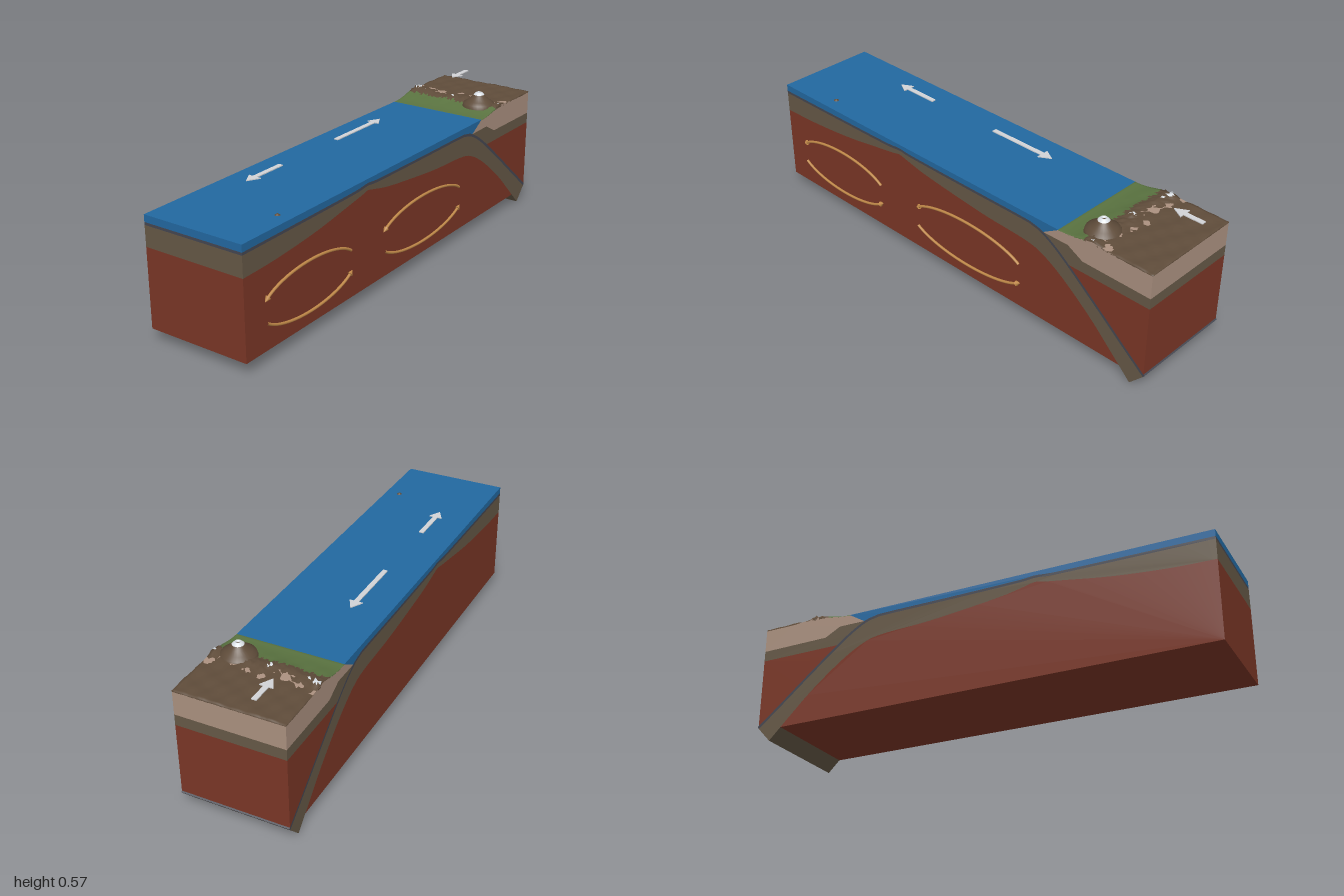
import * as THREE from 'three';

const BACK = -0.23, FRONT = 0.212, RIGHT = 0.985;
const mat = (name, color, side = THREE.FrontSide) => {
  const m = new THREE.MeshStandardMaterial({ color, side });
  m.name = name;
  return m;
};

export function createModel() {
  const model = new THREE.Group();
  model.name = 'plateTectonicsBlock';
  const mats = {
    mantle: mat('mantle red', 0x7a3626),
    plate: mat('lithosphere olive', 0x655846),
    crust: mat('oceanic crust slate', 0x444650),
    land: mat('continental crust beige', 0xaa907f),
    water: mat('ocean blue', 0x2268a0),
    grass: mat('coast green', 0x5a7340, THREE.DoubleSide),
    rock: mat('mountain brown', 0x5f4c3a, THREE.DoubleSide),
    snow: mat('snow white', 0xe2e8ee, THREE.DoubleSide),
    arrow: mat('arrow grey', 0xd2d3d6),
    flow: mat('convection orange', 0xc08848),
  };
  const add = (name, geo, material, parent = model) => {
    const mesh = new THREE.Mesh(geo, material);
    mesh.name = name;
    parent.add(mesh);
    return mesh;
  };
  const v2 = (x, y) => new THREE.Vector2(x, y);
  const spline = (pts) => new THREE.SplineCurve(pts.map((p) => v2(...p))).getPoints(100);

  // A layer is a front outline pulled through the depth of the block
  const layer = (name, outline, material) => {
    const geo = new THREE.ExtrudeGeometry(new THREE.Shape(outline), { depth: FRONT - BACK, bevelEnabled: false });
    geo.translate(0, 0, BACK);
    return add(name, geo, material);
  };

  // Boundary curves of the oceanic plate, bending down into the trench
  const seabed = spline([[-1, 0.474], [-0.6, 0.477], [-0.36, 0.48], [-0.28, 0.486], [-0.2, 0.481], [0.1, 0.478],
    [0.38, 0.477], [0.44, 0.473], [0.5, 0.455], [0.595, 0.395], [0.755, 0.268], [0.88, 0.165], [0.99, 0.076]]);
  const base = spline([[-1, 0.379], [-0.82, 0.385], [-0.6, 0.405], [-0.4, 0.436], [-0.32, 0.449], [-0.28, 0.457],
    [-0.24, 0.449], [-0.15, 0.43], [0, 0.411], [0.2, 0.391], [0.4, 0.381], [0.49, 0.36], [0.595, 0.3],
    [0.728, 0.196], [0.83, 0.1], [0.926, 0.006]]);
  const crustBase = seabed.map((p, i) => {
    const a = seabed[Math.max(i - 1, 0)], b = seabed[Math.min(i + 1, seabed.length - 1)];
    const t = b.clone().sub(a).normalize();
    return v2(i === 0 ? -1 : p.x + t.y * 0.011, p.y - t.x * 0.011);
  });

  // Mantle below the plate, and the wedge above the sinking slab
  const floor = 0.057;
  const above = base.filter((p) => p.y > floor);
  layer('mantle', [v2(-1, floor), v2(above[above.length - 1].x + 0.008, floor), ...above.reverse()], mats.mantle);
  layer('mantleWedge', [...seabed.filter((p) => p.y < 0.378 && p.x < RIGHT), v2(RIGHT, 0.08), v2(RIGHT, 0.376),
    v2(0.619, 0.376)], mats.mantle);

  // Oceanic plate with its thin crust
  layer('oceanicPlate', [...base, ...crustBase.slice().reverse()], mats.plate);
  layer('oceanicCrust', [...crustBase, ...seabed.slice().reverse()], mats.crust);

  // Continent: deep plate and crust
  layer('continentalPlate', [v2(0.492, 0.458), ...seabed.filter((p) => p.x > 0.5 && p.y > 0.378), v2(0.619, 0.376),
    v2(RIGHT, 0.376), v2(RIGHT, 0.421), v2(0.68, 0.423), v2(0.61, 0.46)], mats.plate);
  layer('continentalCrust', [v2(0.492, 0.459), v2(0.61, 0.46), v2(0.68, 0.423), v2(RIGHT, 0.421), v2(RIGHT, 0.518),
    v2(0.85, 0.518), v2(0.76, 0.525), v2(0.72, 0.527), v2(0.67, 0.516), v2(0.62, 0.506), v2(0.56, 0.5)], mats.land);

  // Ocean
  layer('ocean', [...seabed.filter((p) => p.x < 0.492), v2(0.492, 0.459), v2(0.565, 0.503), v2(-1, 0.503)], mats.water);

  // Land surface: coast, mountain ridge and plateau
  const hash = (i, j) => {
    const s = Math.sin(i * 127.1 + j * 311.7) * 43758.5453;
    return s - Math.floor(s);
  };
  const NX = 44, NZ = 46, X0 = 0.562;
  const position = [], buckets = [[], [], []];
  for (let j = 0; j <= NZ; j++) {
    for (let i = 0; i <= NX; i++) {
      const u = THREE.MathUtils.clamp((i - 1) / (NX - 2), 0, 1);
      const v = THREE.MathUtils.clamp((j - 1) / (NZ - 2), 0, 1);
      const x = X0 + u * (RIGHT - X0), z = BACK + v * (FRONT - BACK);
      const rise = THREE.MathUtils.smoothstep(x, 0.57, 0.72);
      const ridge = Math.exp(-(((x - 0.72 - 0.012 * Math.sin(z * 25)) / 0.032) ** 2));
      let y = 0.503 + 0.0205 * rise + ridge * (0.003 + 0.013 * hash(i, j) * (0.7 + 0.4 * Math.cos(z * 30)));
      y += rise * (0.0012 * Math.sin(x * 70 + z * 30) + 0.001 * Math.sin(z * 90 - x * 40) + 0.001 * hash(j, i));
      // The outer ring drops down as a skirt
      if (i === 0 || j === 0 || i === NX || j === NZ) y = 0.5 + 0.017 * rise;
      position.push(x, y, z);
    }
  }
  for (let j = 0; j < NZ; j++) {
    for (let i = 0; i < NX; i++) {
      const a = j * (NX + 1) + i, b = a + 1, c = a + NX + 1, d = c + 1;
      for (const tri of [[a, c, b], [b, c, d]]) {
        const x = tri.reduce((s, k) => s + position[k * 3], 0) / 3;
        const y = tri.reduce((s, k) => s + position[k * 3 + 1], 0) / 3;
        const kind = y > 0.5345 ? 2 : x < 0.668 + 0.022 * hash(j, 7) ? 0 : 1;
        buckets[kind].push(...tri);
      }
    }
  }
  const terrain = new THREE.BufferGeometry();
  terrain.setAttribute('position', new THREE.Float32BufferAttribute(position, 3));
  terrain.setIndex(buckets.flat());
  let start = 0;
  buckets.forEach((list, k) => {
    terrain.addGroup(start, list.length, k);
    start += list.length;
  });
  terrain.computeVertexNormals();
  add('landSurface', terrain, [mats.grass, mats.rock, mats.snow]);

  // Volcano with a snowy rim and crater
  const volcano = new THREE.Group();
  volcano.name = 'volcano';
  volcano.position.set(0.695, 0, 0.122);
  model.add(volcano);
  const lathe = (pts) => new THREE.LatheGeometry(pts.map((p) => v2(...p)), 28);
  add('volcanoCone', lathe([[0.07, 0.515], [0.066, 0.53], [0.05, 0.54], [0.034, 0.554], [0.023, 0.566]]), mats.rock, volcano);
  add('volcanoSnow', lathe([[0.023, 0.566], [0.013, 0.576], [0.009, 0.576], [0.006, 0.57]]), mats.snow, volcano);
  add('volcanoCrater', lathe([[0.006, 0.57], [0, 0.569]]), mats.rock, volcano);

  // Small island in the ocean
  const island = add('island', new THREE.CylinderGeometry(0.004, 0.012, 0.006, 16), mats.rock);
  island.position.set(-0.74, 0.505, 0.152);

  // Flat arrows for plate movement
  const motionArrow = (name, tail, tip, y) => {
    const d = Math.sign(tip - tail), neck = tip - d * 0.05;
    const outline = [[tail, -0.01], [neck, -0.01], [neck, -0.028], [tip, 0], [neck, 0.028], [neck, 0.01], [tail, 0.01]];
    const geo = new THREE.ExtrudeGeometry(new THREE.Shape(outline.map((p) => v2(...p))), { depth: 0.004, bevelEnabled: false });
    geo.rotateX(-Math.PI / 2);
    add(name, geo, mats.arrow).position.set(0, y - 0.002, -0.1);
  };
  motionArrow('westPlateArrow', -0.405, -0.607, 0.53);
  motionArrow('eastPlateArrow', -0.055, 0.255, 0.53);
  motionArrow('continentArrow', 0.965, 0.833, 0.572);

  // Convection loops: two arcs each, ending in a cone
  const Z = 0.219;
  const convection = (name, cx, rx) => {
    const loop = new THREE.Group();
    loop.name = name;
    model.add(loop);
    for (const s of [1, -1]) {
      const pts = [];
      for (let k = 0; k <= 20; k++) {
        const a = 0.46 + (k / 20) * (Math.PI - 0.92);
        pts.push(new THREE.Vector3(cx + s * rx * Math.cos(a), 0.213 + s * 0.101 * Math.sin(a), Z));
      }
      const curve = new THREE.CatmullRomCurve3(pts);
      add('flowArc', new THREE.TubeGeometry(curve, 40, 0.0055, 8), mats.flow, loop);
      const head = add('flowHead', new THREE.ConeGeometry(0.011, 0.022, 12), mats.flow, loop);
      head.position.copy(pts[20]);
      head.quaternion.setFromUnitVectors(new THREE.Vector3(0, 1, 0), curve.getTangent(1));
    }
  };
  convection('westConvection', -0.645, 0.276);
  convection('eastConvection', 0.103, 0.31);

  return model;
}
